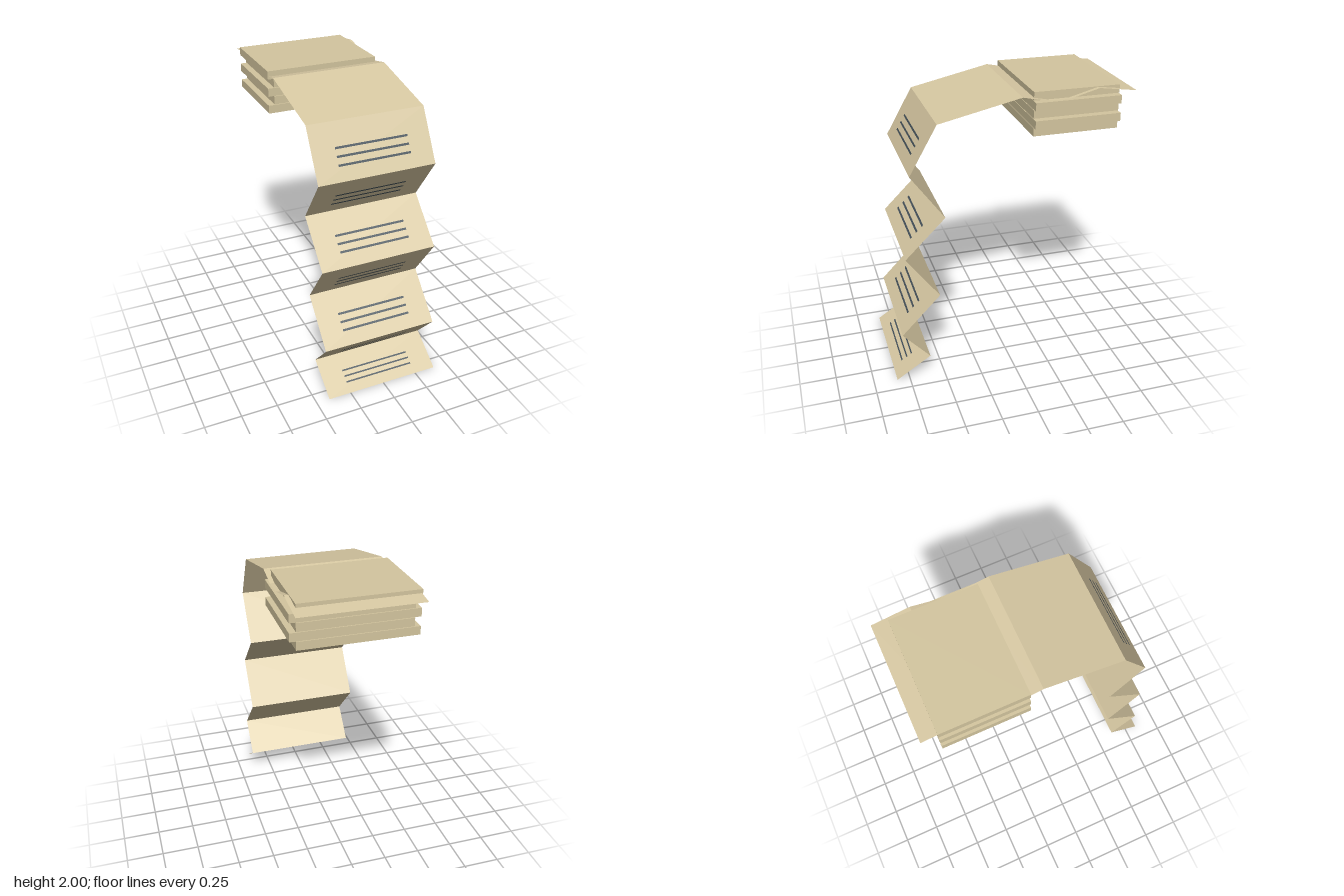
import * as THREE from 'three';

const paper = new THREE.MeshStandardMaterial({ color: 0xd8c9a3, side: THREE.DoubleSide, flatShading: true });
const board = new THREE.MeshStandardMaterial({ color: 0xd4c69f, flatShading: true });
const ink = new THREE.MeshStandardMaterial({ color: 0x46525a });

// Fold positions of the sheet as [z, y], from the foot up and over to the back
const folds = [
  [0.838, 0], [0.596, 0.157], [0.782, 0.363], [0.51, 0.642], [0.733, 0.948],
  [0.457, 1.221], [0.68, 1.534], [0.493, 1.86], [-0.06, 1.981], [-0.235, 1.945],
  [-0.38, 1.945], [-0.578, 1.997], [-0.837, 1.96],
];
const LEFT = 0.4, RIGHT = -0.408;

// Pleated strip, one flat quad per panel
function foldedSheet() {
  const positions = folds.flatMap(([z, y]) => [RIGHT, y, z, LEFT, y, z]);
  const index = [];
  for (let i = 0; i < folds.length - 1; i++) {
    const a = i * 2;
    index.push(a, a + 1, a + 3, a, a + 3, a + 2);
  }
  const indexed = new THREE.BufferGeometry();
  indexed.setAttribute('position', new THREE.Float32BufferAttribute(positions, 3));
  indexed.setIndex(index);
  const geometry = indexed.toNonIndexed();
  geometry.computeVertexNormals();
  const mesh = new THREE.Mesh(geometry, paper);
  mesh.name = 'foldedSheet';
  return mesh;
}

// Three ruled lines lying just in front of one panel
function panelLines(i) {
  const group = new THREE.Group();
  group.name = `panelLines${i + 1}`;
  const [z0, y0] = folds[i], [z1, y1] = folds[i + 1];
  const dz = z1 - z0, dy = y1 - y0, length = Math.hypot(dz, dy);
  for (const t of [0.27, 0.415, 0.56]) {
    const line = new THREE.Mesh(new THREE.PlaneGeometry(0.497, length * 0.038), ink);
    line.name = 'line';
    line.rotation.x = Math.atan2(dz, dy);
    line.position.set(-0.004, y0 + dy * t, z0 + dz * t);
    line.translateZ(0.003);
    group.add(line);
  }
  return group;
}

// Stack of folded leaves, shifted alternately to either side
function foldedStack() {
  const group = new THREE.Group();
  group.name = 'foldedStack';
  for (let i = 0; i < 5; i++) {
    const leaf = new THREE.Mesh(new THREE.BoxGeometry(0.786, 0.056, 0.586), board);
    leaf.name = `leaf${i + 1}`;
    leaf.position.set(i % 2 ? 0.019 : -0.022, 1.733 + i * 0.0598, -0.437);
    group.add(leaf);
  }
  return group;
}

export function createModel() {
  const model = new THREE.Group();
  model.name = 'foldedPaperStrip';
  model.add(foldedSheet(), foldedStack());
  for (let i = 0; i < 7; i++) model.add(panelLines(i));
  return model;
}
